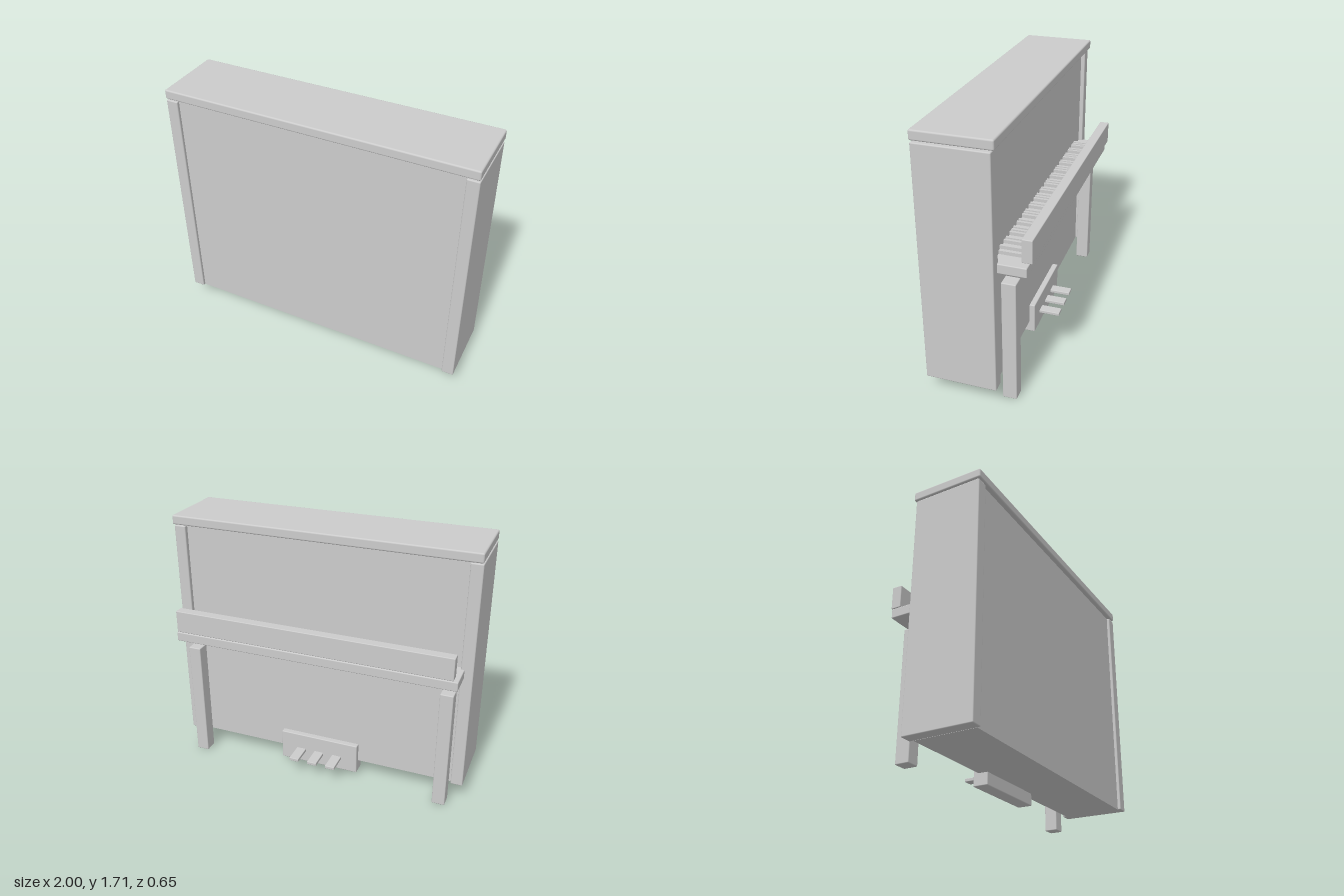
import * as THREE from 'three';
import { RoundedBoxGeometry } from 'three/addons/geometries/RoundedBoxGeometry.js';

const material = new THREE.MeshStandardMaterial({ color: 0xcccccc });

export function createModel() {
  const root = new THREE.Group();
  root.name = 'uprightPiano';

  // Box given by its min/max extents on each axis, with an optional rounded edge
  function block(name, [x0, x1], [y0, y1], [z0, z1], radius = 0, parent = root) {
    const size = [x1 - x0, y1 - y0, z1 - z0];
    const geometry = radius
      ? new RoundedBoxGeometry(...size, 2, radius)
      : new THREE.BoxGeometry(...size);
    const mesh = new THREE.Mesh(geometry, material);
    mesh.position.set((x0 + x1) / 2, (y0 + y1) / 2, (z0 + z1) / 2);
    mesh.name = name;
    parent.add(mesh);
    return mesh;
  }

  // Case: central body, lid, side panels and front legs
  block('caseBody', [-0.925, 0.925], [0.11, 1.635], [-0.1, 0.3]);
  block('lid', [-1, 1], [1.645, 1.706], [-0.147, 0.325], 0.01);
  for (const [side, label] of [[1, 'left'], [-1, 'right']]) {
    const span = (a, b) => (side > 0 ? [a, b] : [-b, -a]);
    block(label + 'SidePanel', span(0.922, 1), [0.11, 1.635], [-0.128, 0.32], 0.007);
    block(label + 'Leg', span(0.827, 0.912), [0, 0.816], [-0.225, -0.136], 0.006);
  }

  // Keyboard shelf and raised key cover
  block('keybed', [-0.945, 0.945], [0.895, 0.957], [-0.3, -0.09], 0.006);
  block('keyCover', [-0.922, 0.922], [0.975, 1.122], [-0.325, -0.261], 0.005);

  // 52 white keys starting on A, with black keys after A, C, D, F and G
  const keys = new THREE.Group();
  keys.name = 'keys';
  root.add(keys);
  const count = 52, pitch = 1.685 / count;
  const hasSharp = [true, false, true, true, false, true, true];
  for (let i = 0; i < count; i++) {
    const x = (count / 2 - i - 0.5) * pitch;
    block('whiteKey', [x - 0.0145, x + 0.0145], [0.955, 0.979], [-0.287, -0.1], 0, keys);
    if (hasSharp[i % 7] && i < count - 1) {
      const bx = x - pitch / 2;
      block('blackKey', [bx - 0.009, bx + 0.009], [0.97, 1.0], [-0.229, -0.1], 0, keys);
    }
  }

  // Pedal box and three pedals
  block('pedalBox', [-0.275, 0.275], [0.03, 0.24], [-0.136, -0.037], 0.006);
  for (const x of [-0.13, 0, 0.13]) {
    block('pedal', [x - 0.033, x + 0.033], [0.11, 0.132], [-0.272, -0.12], 0.004);
  }
  return root;
}
